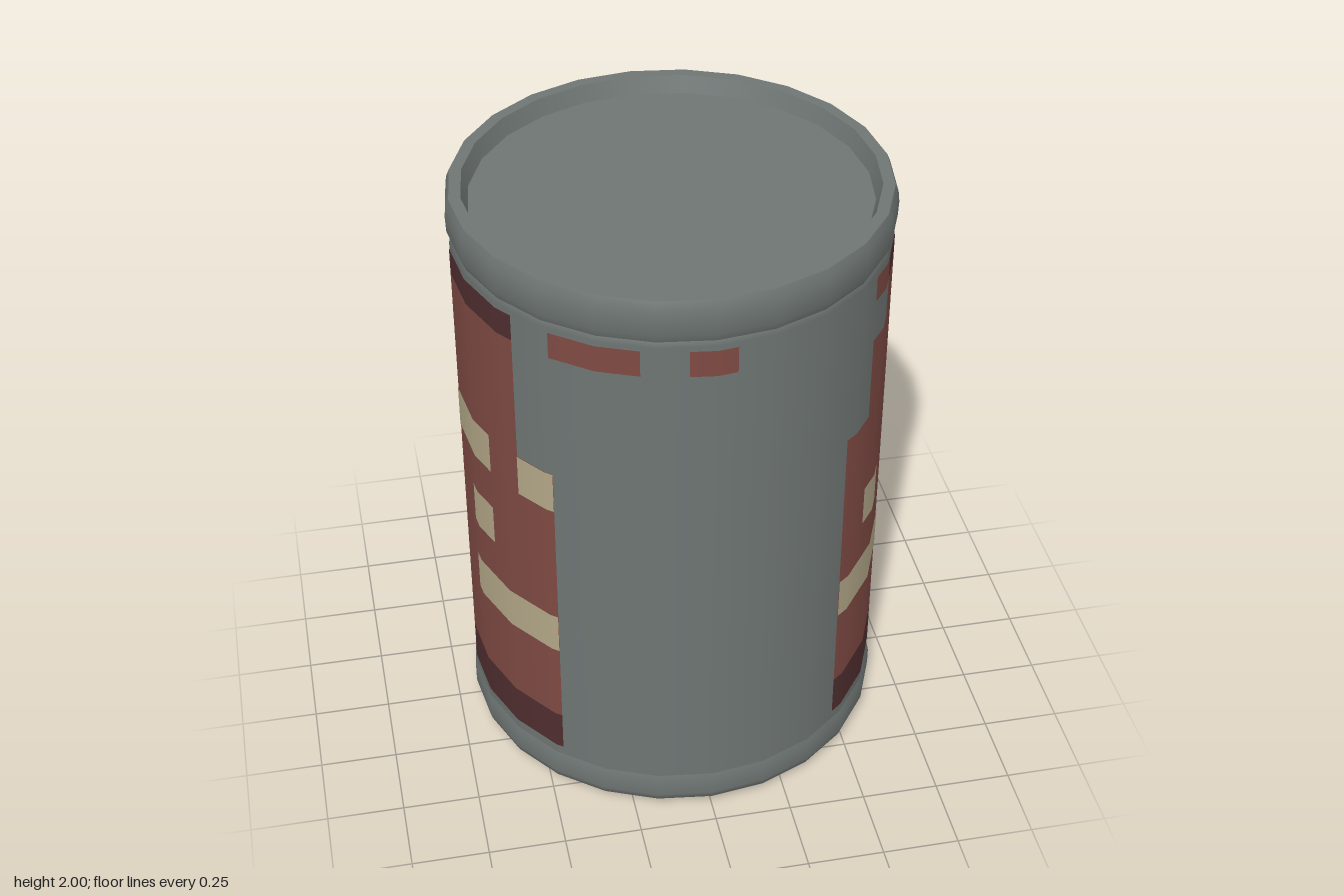
import * as THREE from 'three';

const SIDES = 24;
const STEP = (Math.PI * 2) / SIDES;
const BODY_R = 0.68;

const mat = (name, color) => {
  const m = new THREE.MeshStandardMaterial({ color });
  m.name = name;
  return m;
};

// Label grid: columns of 12 degrees around the can, rows going up
const colAngle = (c) => THREE.MathUtils.degToRad(41.2 + 12 * c);
const rowY = (r) => Math.min(0.175 + 0.1425 * r, 1.83);

// Radius of the 24-sided outline at a given angle
const facetRadius = (r, a) => {
  const mid = (Math.floor(a / STEP + 1e-6) + 0.5) * STEP;
  return (r * Math.cos(STEP / 2)) / Math.cos(a - mid);
};

// Thin sheet wrapped on the facets; rings are [radius, y] from bottom to top
function wrapGeometry(a0, a1, rings) {
  const angles = [a0];
  for (let k = Math.floor(a0 / STEP + 1e-6) + 1; k * STEP < a1 - 1e-6; k++) angles.push(k * STEP);
  angles.push(a1);
  const pos = [], nor = [], idx = [];
  const n = angles.length;
  rings.forEach(([r, y], j) => {
    angles.forEach((a, i) => {
      const R = facetRadius(r, a);
      pos.push(R * Math.sin(a), y, R * Math.cos(a));
      nor.push(Math.sin(a), 0, Math.cos(a));
      if (j && i) {
        const d = j * n + i, c = d - 1, b = d - n, e = b - 1;
        idx.push(e, b, d, e, d, c);
      }
    });
  });
  const g = new THREE.BufferGeometry();
  g.setAttribute('position', new THREE.Float32BufferAttribute(pos, 3));
  g.setAttribute('normal', new THREE.Float32BufferAttribute(nor, 3));
  g.setIndex(idx);
  return g;
}

export function createModel() {
  const root = new THREE.Group();
  root.name = 'tinCan';

  const metal = mat('metal', 0x6e7573);
  const red = mat('label red', 0x7f4a43);
  const dark = mat('dark red', 0x502e30);
  const cream = mat('cream', 0xb3a788);
  const brown = mat('brown', 0x665030);

  const add = (name, geometry, material, parent = root) => {
    const m = new THREE.Mesh(geometry, material);
    m.name = name;
    parent.add(m);
  };
  const lathe = (name, pts) =>
    add(name, new THREE.LatheGeometry(pts.map(([x, y]) => new THREE.Vector2(x, y)), SIDES), metal);

  // Metal can, split where edges are sharp
  lathe('canBody', [[BODY_R, 0.14], [BODY_R, 1.845], [0.672, 1.865]]);
  lathe('bottomRim', [[0.655, 0.01], [0.68, 0.035], [0.688, 0.06], [0.688, 0.115], [0.676, 0.15]]);
  lathe('bottomLip', [[0.63, 0], [0.655, 0.01]]);
  lathe('bottomInnerWall', [[0.605, 0.055], [0.63, 0]]);
  lathe('bottomLid', [[0, 0.055], [0.605, 0.055]]);
  lathe('topRim', [[0.672, 1.858], [0.686, 1.89], [0.688, 1.94], [0.684, 1.975], [0.674, 2]]);
  lathe('topLip', [[0.674, 2], [0.637, 2]]);
  lathe('topInnerWall', [[0.637, 2], [0.618, 1.945]]);
  lathe('topLid', [[0.618, 1.945], [0, 1.945]]);

  // Torn paper label
  const label = new THREE.Group();
  label.name = 'label';
  root.add(label);
  const patch = (name, material, layer, c0, c1, r0, r1) => {
    const r = BODY_R + 0.0018 * layer;
    const g = wrapGeometry(colAngle(c0), colAngle(c1), [[r, rowY(r0)], [r, rowY(r1)]]);
    add(name, g, material, label);
  };

  // Paper with stepped edges
  patch('labelPaper', red, 1, 2, 22, 1, 11);
  patch('labelTornEdge', red, 1, 0, 1, 1, 8);
  patch('labelTornEdge', red, 1, 1, 2, 1, 10);
  patch('labelTornEdge', red, 1, 22, 23, 1, 8);
  patch('lowerBand', dark, 1, 0, 23, 0, 1);
  patch('upperBand', dark, 1, 2, 22, 11, 12);

  // Paper scraps left near the top
  for (const [c0, c1] of [[1, 2], [23, 25], [26, 27]]) patch('paperScrap', red, 1, c0, c1, 11, 12);

  // Cream panel with picture and dark bars
  patch('panel', cream, 2, 8, 17, 3, 10);
  patch('panelPicture', brown, 3, 10, 15, 6, 9);
  patch('panelBar', dark, 3, 9, 11, 4, 5);
  patch('panelBar', dark, 3, 12, 16, 4, 5);

  // Cream dashes: [row, first column, end column]
  const dashes = [
    [3, 0, 3], [3, 4, 5], [3, 17, 19], [3, 20, 23],
    [5, 1, 2], [5, 3, 6], [5, 17, 19], [5, 20, 21],
    [7, 17, 18], [7, 19, 21], [7, 22, 23],
  ];
  for (const [r, c0, c1] of dashes) patch('dash', cream, 2, c0, c1, r, r + 1);

  // Paper residue on the rims
  const residue = (a0, a1, rings) =>
    add('rimResidue', wrapGeometry(a0, a1, rings.map(([r, y]) => [r + 0.002, y])), red, label);
  residue(colAngle(6), colAngle(7), [[0.672, 1.858], [0.682, 1.88]]);
  residue(colAngle(15), colAngle(16.2), [[0.655, 0.01], [0.68, 0.035], [0.688, 0.06], [0.688, 0.1]]);
  residue(colAngle(15.4), colAngle(16.8), [[0.688, 0.1], [0.688, 0.115], [0.683, 0.13]]);

  return root;
}
